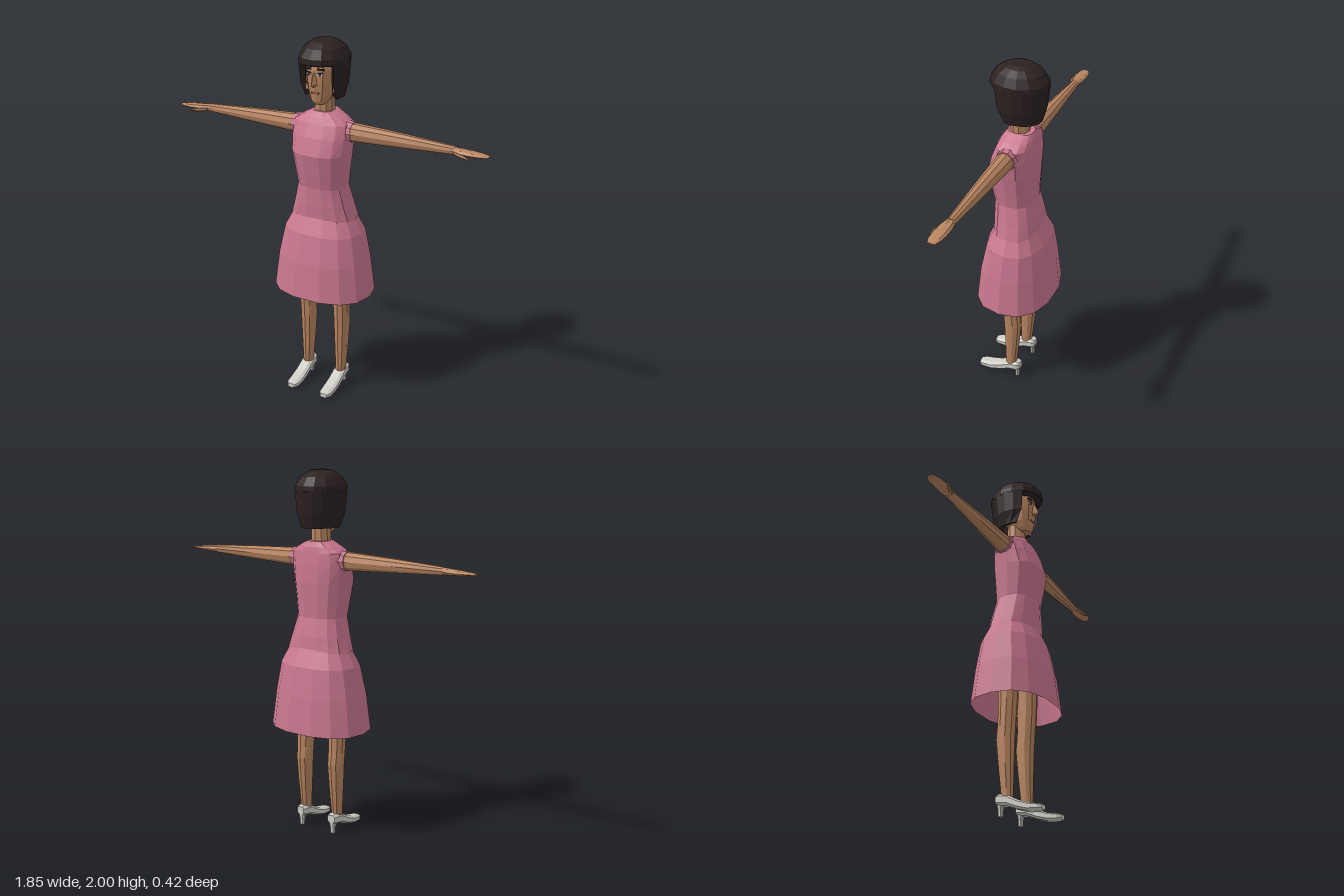
import * as THREE from 'three';

const mat = (name, color, side = THREE.FrontSide) => {
  const m = new THREE.MeshStandardMaterial({ color, flatShading: true, side });
  m.name = name;
  return m;
};

// Skin over rounded cross-sections [y, rx, rz, cx, cz, gap]; gap opens the front of a ring.
function loft(rings, { n = 12, p = 2, half = false, capStart = true, capEnd = true } = {}) {
  const pos = [], idx = [], w = n + 1;
  const bend = v => Math.sign(v) * Math.pow(Math.abs(v), 2 / p);
  for (const [y, rx, rz, cx = 0, cz = 0, gap = 0] of rings) {
    for (let j = 0; j <= n; j++) {
      const t = (j + (half ? 0.5 : 0)) / n;
      const a = Math.PI / 2 + gap + t * (2 * Math.PI - 2 * gap);
      pos.push(cx + rx * bend(Math.cos(a)), y, cz + rz * bend(Math.sin(a)));
    }
  }
  for (let i = 0; i < rings.length - 1; i++) {
    for (let j = 0; j < n; j++) {
      const a = i * w + j, b = a + 1, c = a + w, d = c + 1;
      idx.push(a, c, b, b, c, d);
    }
  }
  const cap = (i, top) => {
    const [y, , , cx = 0, cz = 0] = rings[i], k = pos.length / 3;
    pos.push(cx, y, cz);
    for (let j = 0; j < n; j++) {
      const a = i * w + j;
      if (top) idx.push(k, a + 1, a); else idx.push(k, a, a + 1);
    }
  };
  if (capStart) cap(0, false);
  if (capEnd) cap(rings.length - 1, true);
  const g = new THREE.BufferGeometry();
  g.setAttribute('position', new THREE.Float32BufferAttribute(pos, 3));
  g.setIndex(idx);
  g.computeVertexNormals();
  return g;
}

export function createModel() {
  const model = new THREE.Group();
  model.name = 'woman';
  const skin = mat('skin', 0xb98560);
  const pink = mat('pink cloth', 0xc9778f, THREE.DoubleSide);
  const dark = mat('dark hair', 0x2c2121, THREE.DoubleSide);
  const white = mat('eye white', 0xe6e2dc);
  const shoeGrey = mat('pale shoe', 0xcfcdc6);
  const lip = mat('lips', 0x8c4f42);

  const add = (name, geo, material, x = 0, y = 0, z = 0) => {
    const m = new THREE.Mesh(geo, material);
    m.name = name;
    m.position.set(x, y, z);
    model.add(m);
    return m;
  };
  const box = (w, h, d) => new THREE.BoxGeometry(w, h, d);

  // Dress
  add('skirt', loft([
    [0.60, 0.283, 0.213], [0.80, 0.257, 0.192], [0.96, 0.225, 0.163, 0, -0.005],
    [1.06, 0.172, 0.118, 0, -0.005],
  ], { n: 14, p: 2.4, half: true, capStart: false, capEnd: false }), pink);
  add('bodice', loft([
    [1.04, 0.187, 0.122, 0, -0.005], [1.12, 0.162, 0.119, 0, 0.002],
    [1.22, 0.136, 0.108, 0, 0.013], [1.31, 0.147, 0.119, 0, 0.02],
    [1.41, 0.160, 0.131, 0, 0.026], [1.50, 0.168, 0.115, 0, 0.014],
    [1.57, 0.164, 0.096, 0, 0.002], [1.60, 0.120, 0.086, 0, -0.004],
    [1.63, 0.062, 0.070, 0, -0.008],
  ], { n: 14, p: 2.5, half: true, capStart: false }), pink);

  // Neck and head
  add('neck', loft([[1.58, 0.057, 0.054], [1.74, 0.052, 0.052]], { n: 10 }), skin);
  add('head', loft([
    [1.672, 0.030, 0.034, 0, 0.05], [1.69, 0.046, 0.052, 0, 0.043],
    [1.73, 0.066, 0.080, 0, 0.022], [1.79, 0.077, 0.099, 0, 0.013],
    [1.86, 0.081, 0.104, 0, 0.010], [1.92, 0.075, 0.095, 0, 0.005],
  ], { p: 2.4 }), skin);
  add('nose', loft([
    [1.773, 0.015, 0.015, 0, 0.112], [1.784, 0.018, 0.031, 0, 0.112],
    [1.845, 0.007, 0.010, 0, 0.108],
  ], { n: 4 }), skin);
  add('mouth', box(0.042, 0.010, 0.009), lip, 0, 1.737, 0.1);

  // Hair: closed crown with fringe, and a thick curtain open at the face
  add('hairCrown', loft([
    [1.885, 0.122, 0.150], [1.89, 0.130, 0.156], [1.92, 0.129, 0.154],
    [1.965, 0.104, 0.122], [1.99, 0.070, 0.082], [2.0, 0.045, 0.052],
  ], { n: 14 }), dark);
  add('hairCurtain', loft([
    [1.90, 0.095, 0.115, 0, 0, 0.95], [1.78, 0.095, 0.112, 0, 0, 0.95],
    [1.715, 0.066, 0.088, 0, 0, 1.2], [1.70, 0.098, 0.122, 0, 0, 1.2],
    [1.775, 0.119, 0.142, 0, 0, 0.95], [1.90, 0.130, 0.156, 0, 0, 0.92],
  ], { n: 12, capStart: false, capEnd: false }), dark);

  for (const s of [1, -1]) {
    const side = s > 0 ? 'left' : 'right';
    // Face details
    const turned = (name, geo, material, x, y, z) => {
      add(side + name, geo, material, s * x, y, z).rotation.y = s * 0.23;
    };
    turned('Eye', box(0.027, 0.014, 0.006), white, 0.033, 1.837, 0.106);
    turned('Pupil', box(0.012, 0.014, 0.008), dark, 0.033, 1.837, 0.107);
    turned('EyeLine', box(0.030, 0.004, 0.008), dark, 0.033, 1.845, 0.107);
    turned('Brow', box(0.036, 0.009, 0.009), dark, 0.036, 1.864, 0.106);
    add(side + 'Ear', box(0.014, 0.075, 0.035), skin, s * 0.081, 1.772, 0.03);

    // Arm, hand and thumb, lofted upward then laid out sideways
    const sideways = (name, geo, material) => {
      add(side + name, geo, material, 0, 1.53, 0).rotation.z = -s * Math.PI / 2;
    };
    sideways('Sleeve', loft([
      [0.12, 0.058, 0.060, 0, 0.003], [0.176, 0.054, 0.054, 0, 0.003],
    ], { n: 10 }), pink);
    sideways('Arm', loft([
      [0.13, 0.050, 0.051, 0, 0.004], [0.20, 0.049, 0.048, 0, 0.004],
      [0.45, 0.038, 0.037, 0, 0.004], [0.745, 0.022, 0.022, s * 0.002, 0.004],
    ], { n: 10 }), skin);
    sideways('Hand', loft([
      [0.735, 0.020, 0.022, s * 0.002, 0.004], [0.78, 0.018, 0.035, s * 0.004, 0.008],
      [0.84, 0.014, 0.037, s * 0.005, 0.009], [0.89, 0.009, 0.032, s * 0.005, 0.010],
      [0.923, 0.004, 0.020, s * 0.006, 0.010],
    ], { n: 8 }), skin);
    sideways('Thumb', loft([
      [0.745, 0.009, 0.010, s * 0.012, 0.022], [0.79, 0.010, 0.011, s * 0.015, 0.042],
      [0.832, 0.005, 0.006, s * 0.018, 0.059],
    ], { n: 6 }), skin);

    // Leg
    add(side + 'Leg', loft([
      [0.07, 0.030, 0.032, 0, 0.004], [0.12, 0.031, 0.034, 0, 0.004],
      [0.26, 0.040, 0.043, 0, -0.002], [0.40, 0.046, 0.052, 0, -0.006],
      [0.47, 0.048, 0.050, 0, 0], [0.60, 0.051, 0.053, 0, 0.007],
      [0.98, 0.062, 0.070, 0, 0.004],
    ], { n: 10 }), skin, s * 0.107);

    // Shoe lofted from heel to toe, with a block heel
    const shoe = [
      [-0.053, 0.085, 0.024, 0.024], [-0.035, 0.084, 0.034, 0.031],
      [0.010, 0.077, 0.036, 0.031], [0.075, 0.046, 0.037, 0.025],
      [0.130, 0.028, 0.038, 0.022], [0.185, 0.021, 0.034, 0.018],
      [0.206, 0.020, 0.022, 0.013],
    ].map(([z, y, rx, ry]) => [z, rx, ry, 0, -y]);
    add(side + 'Shoe', loft(shoe, { n: 8, p: 3, half: true }), shoeGrey, s * 0.107)
      .rotation.x = Math.PI / 2;
    add(side + 'ShoeHeel', loft([
      [0, 0.014, 0.012], [0.03, 0.015, 0.012], [0.07, 0.024, 0.018],
    ], { n: 8, p: 3, half: true }), shoeGrey, s * 0.107, 0, -0.034);
  }
  return model;
}
